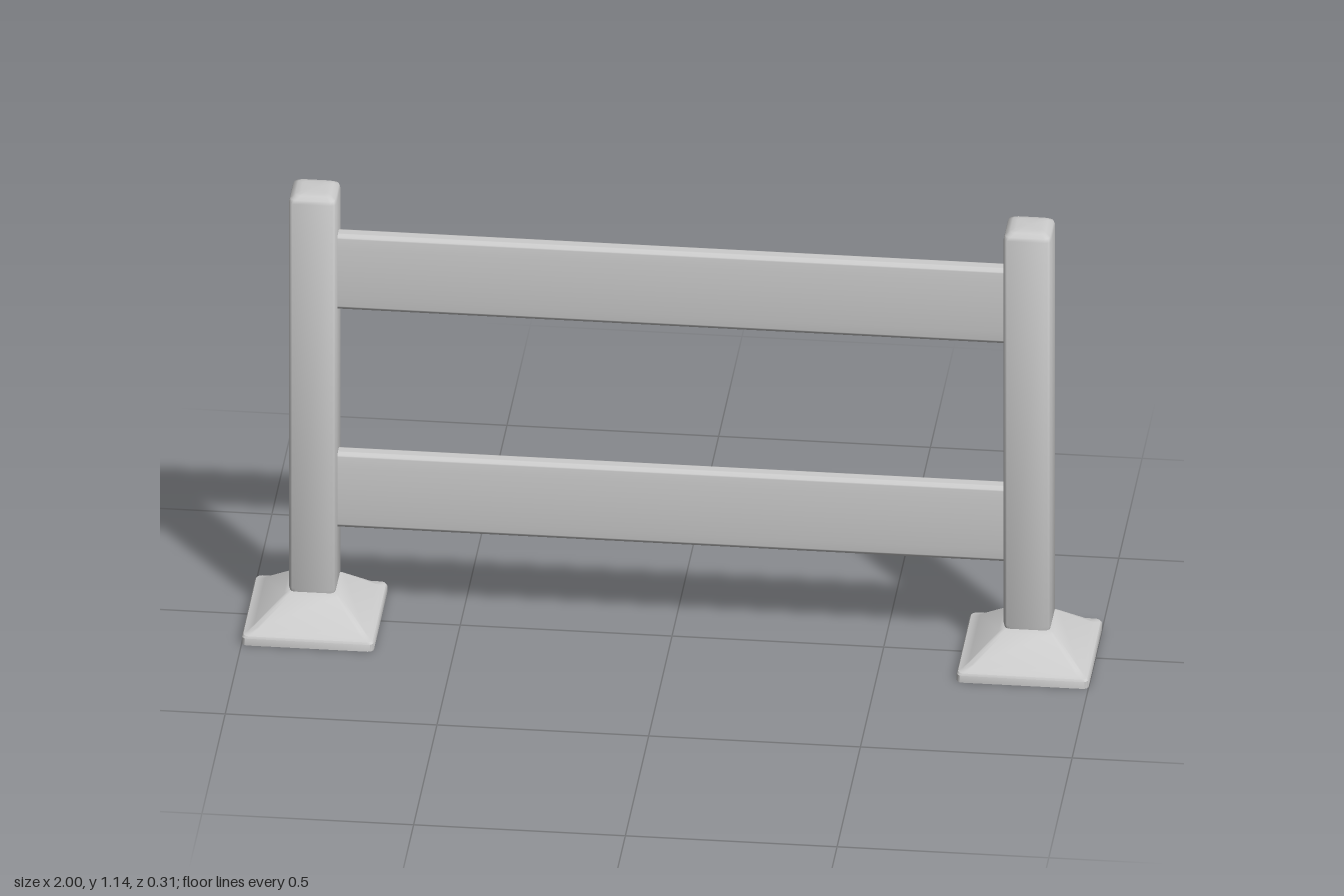
import * as THREE from 'three';
import { toCreasedNormals } from 'three/addons/utils/BufferGeometryUtils.js';

const material = new THREE.MeshStandardMaterial({ color: 0xcccccc });

function add(parent, name, geometry, x = 0, y = 0, z = 0) {
  const mesh = new THREE.Mesh(geometry, material);
  mesh.name = name;
  mesh.position.set(x, y, z);
  parent.add(mesh);
}

// Stack of rounded squares, each [half width, corner radius, height], closed at both ends
function loftSquares(rings, crease) {
  const steps = 4, n = 4 * (steps + 1), pos = [], index = [];
  for (const [half, radius, y] of rings) {
    for (let corner = 0; corner < 4; corner++) {
      const mid = (corner + 0.5) * Math.PI / 2;
      const cx = Math.sign(Math.cos(mid)) * (half - radius);
      const cz = Math.sign(Math.sin(mid)) * (half - radius);
      for (let k = 0; k <= steps; k++) {
        const a = (corner + k / steps) * Math.PI / 2;
        pos.push(cx + radius * Math.cos(a), y, cz + radius * Math.sin(a));
      }
    }
  }
  const last = rings.length - 1, bottom = n * rings.length, top = bottom + 1;
  pos.push(0, rings[0][2], 0, 0, rings[last][2], 0);
  for (let j = 0; j < n; j++) {
    const k = (j + 1) % n;
    for (let i = 0; i < last; i++) {
      const a = i * n + j, b = i * n + k;
      index.push(a, a + n, b, b, a + n, b + n);
    }
    index.push(bottom, j, k, top, last * n + k, last * n + j);
  }
  const g = new THREE.BufferGeometry();
  g.setAttribute('position', new THREE.Float32BufferAttribute(pos, 3));
  g.setIndex(index);
  return toCreasedNormals(g, crease);
}

// Board with gently bulged faces and rounded edges, running along x
function railGeometry(length, height) {
  const h = height / 2, r = 0.014, edge = 0.02, mid = 0.027;
  const s = new THREE.Shape();
  s.moveTo(edge, -h + r);
  s.quadraticCurveTo(mid, 0, edge, h - r);
  s.quadraticCurveTo(edge, h, edge - r, h);
  s.lineTo(r - edge, h);
  s.quadraticCurveTo(-edge, h, -edge, h - r);
  s.quadraticCurveTo(-mid, 0, -edge, -h + r);
  s.quadraticCurveTo(-edge, -h, r - edge, -h);
  s.lineTo(edge - r, -h);
  s.quadraticCurveTo(edge, -h, edge, -h + r);
  const g = new THREE.ExtrudeGeometry(s, { depth: length, bevelEnabled: false, curveSegments: 8 });
  g.translate(0, 0, -length / 2).rotateY(Math.PI / 2);
  return toCreasedNormals(g, 0.9);
}

export function createModel() {
  const group = new THREE.Group();
  const postX = 0.844;

  const post = loftSquares([
    [0.05, 0.014, 0.08], [0.056, 0.014, 0.105], [0.056, 0.014, 1.127],
    [0.053, 0.014, 1.136], [0.042, 0.012, 1.143], [0.03, 0.01, 1.145],
  ], 0.9);
  const base = loftSquares([
    [0.156, 0.014, 0], [0.156, 0.014, 0.018], [0.153, 0.014, 0.023], [0.143, 0.014, 0.026],
    [0.13, 0.014, 0.035], [0.066, 0.014, 0.09], [0.058, 0.014, 0.095],
  ], 0.65);
  const slot = new THREE.BoxGeometry(0.027, 0.1, 0.004);

  // Posts on flared feet, with fixing slots on the back face
  for (const side of [1, -1]) {
    const assembly = new THREE.Group();
    assembly.name = side > 0 ? 'leftPost' : 'rightPost';
    assembly.position.x = side * postX;
    add(assembly, 'post', post);
    add(assembly, 'base', base);
    for (const y of [0.99, 0.85, 0.435, 0.295]) add(assembly, 'fixingSlot', slot, 0, y, -0.055);
    group.add(assembly);
  }

  // Two rails between the posts
  const rail = railGeometry(1.61, 0.2);
  add(group, 'lowerRail', rail, 0, 0.35, -0.003);
  add(group, 'upperRail', rail, 0, 0.93, -0.003);

  return group;
}
